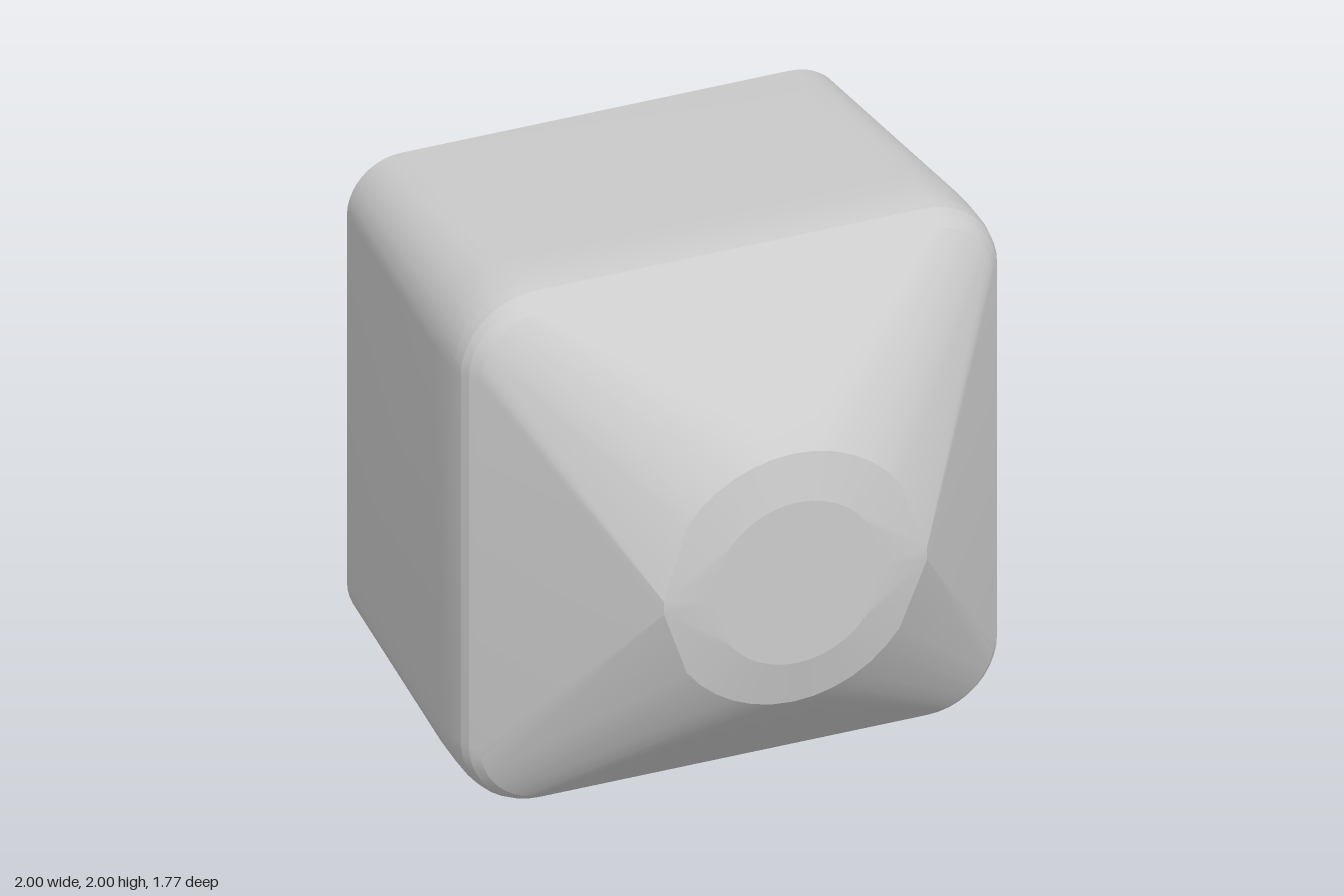
import * as THREE from 'three';
import { ConvexGeometry } from 'three/addons/geometries/ConvexGeometry.js';
import { toCreasedNormals } from 'three/addons/utils/BufferGeometryUtils.js';

const CORE = 0.72; // half size of the square the corners are rounded around
const CORNER_STEPS = 10;

// Rounded square ring at depth z
function squareRing(z, radius) {
  const points = [];
  for (let corner = 0; corner < 4; corner++) {
    const mid = (corner + 0.5) * Math.PI / 2;
    const cx = CORE * Math.sign(Math.cos(mid));
    const cy = CORE * Math.sign(Math.sin(mid));
    for (let i = 0; i <= CORNER_STEPS; i++) {
      const a = (corner + i / CORNER_STEPS) * Math.PI / 2;
      points.push(new THREE.Vector3(cx + radius * Math.cos(a), 1 + cy + radius * Math.sin(a), z));
    }
  }
  return points;
}

// Circular ring at depth z, keeping only points high or low enough
function circleRing(z, radius, minSin = 0) {
  const points = [];
  for (let i = 0; i < 40; i++) {
    const a = i / 40 * Math.PI * 2;
    if (Math.abs(Math.sin(a)) < minSin) continue;
    points.push(new THREE.Vector3(radius * Math.cos(a), 1 + radius * Math.sin(a), z));
  }
  return points;
}

export function createModel() {
  const group = new THREE.Group();
  group.name = 'taperedBlock';

  // Tapered body: [z, corner radius] from the back bevel to the rounded front shoulder
  const sections = [
    [-0.887, 0.19], [-0.875, 0.2], [0.05, 0.276], [0.14, 0.28], [0.24, 0.28],
    [0.29, 0.273], [0.325, 0.258], [0.36, 0.23],
  ];
  const points = sections.flatMap(([z, r]) => squareRing(z, r));

  // Blunt nose: outer arcs above and below, short side edges, flat round tip
  points.push(...circleRing(0.85, 0.487, 0.53), ...circleRing(0.887, 0.315));
  for (const x of [-0.487, 0.487]) {
    for (const y of [0.975, 1.025]) points.push(new THREE.Vector3(x, y, 0.872));
  }

  const geometry = toCreasedNormals(new ConvexGeometry(points), 0.18);
  const body = new THREE.Mesh(geometry, new THREE.MeshStandardMaterial({ color: 0xcccccc }));
  body.name = 'body';
  group.add(body);
  return group;
}
